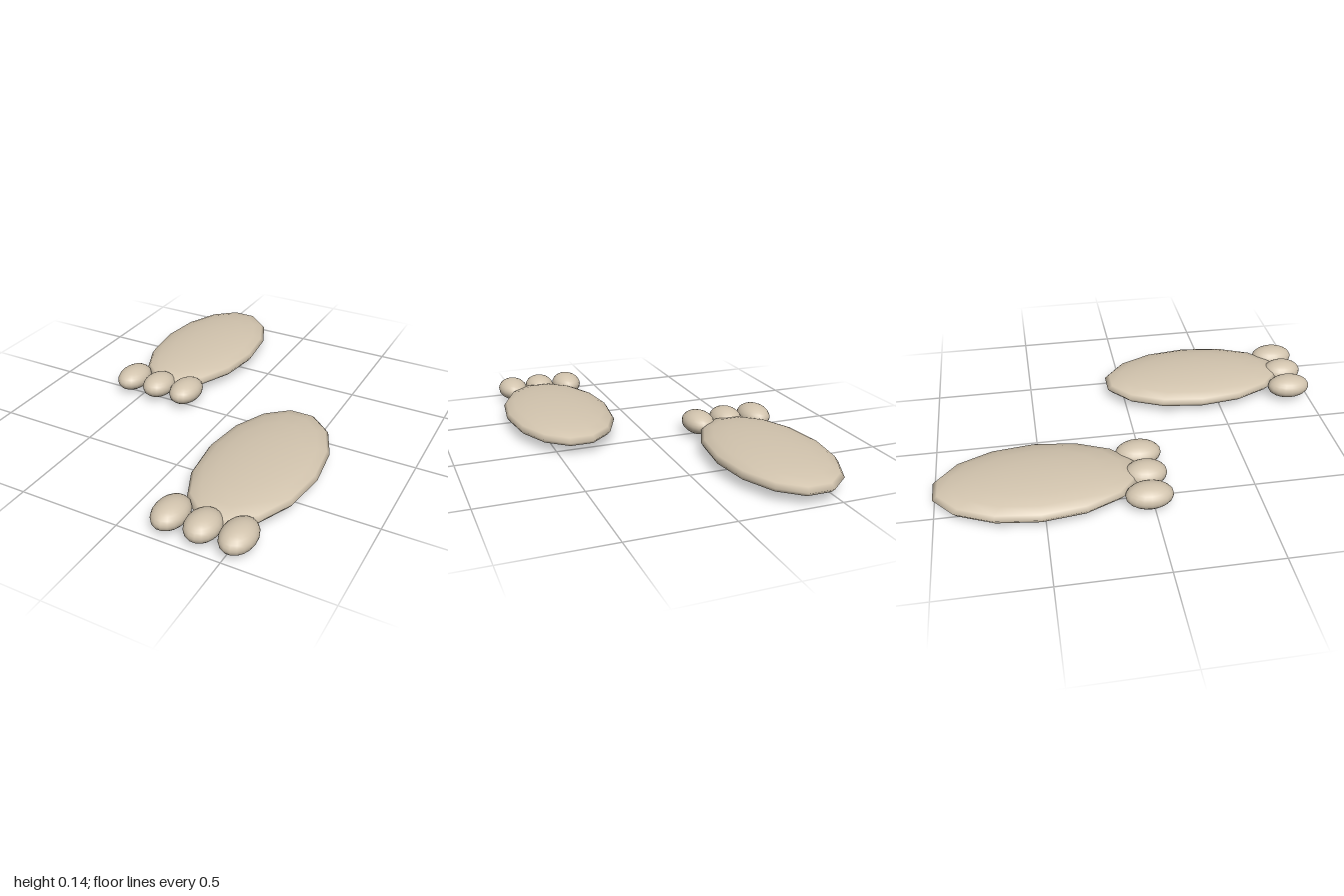
import * as THREE from 'three';

export function createModel() {
  const model = new THREE.Group();
  model.name = 'feet';
  const skin = new THREE.MeshStandardMaterial({ name: 'beige', color: 0xd2c4ae });

  // Spheres stretched into ellipsoids: a coarse one for soles, a finer one for toes
  const soleShape = new THREE.SphereGeometry(1, 14, 10);
  const toeShape = new THREE.SphereGeometry(1, 18, 14);

  function ellipsoid(name, shape, position, radii) {
    const mesh = new THREE.Mesh(shape, skin);
    mesh.name = name;
    mesh.position.set(...position);
    mesh.scale.set(...radii);
    return mesh;
  }

  // One flat foot with three toes at its front
  function foot(name, x, z) {
    const group = new THREE.Group();
    group.name = name;
    group.position.set(x, 0, z);
    group.add(
      ellipsoid('sole', soleShape, [0, 0.068, 0], [0.275, 0.068, 0.492]),
      ellipsoid('rightToe', toeShape, [-0.181, 0.07, 0.497], [0.079, 0.058, 0.112]),
      ellipsoid('middleToe', toeShape, [-0.021, 0.07, 0.507], [0.079, 0.058, 0.102]),
      ellipsoid('leftToe', toeShape, [0.139, 0.07, 0.497], [0.079, 0.058, 0.112])
    );
    return group;
  }

  // The left foot is a step ahead of the right one
  model.add(foot('leftFoot', 0.388, 0.391), foot('rightFoot', -0.391, -0.52));
  return model;
}
